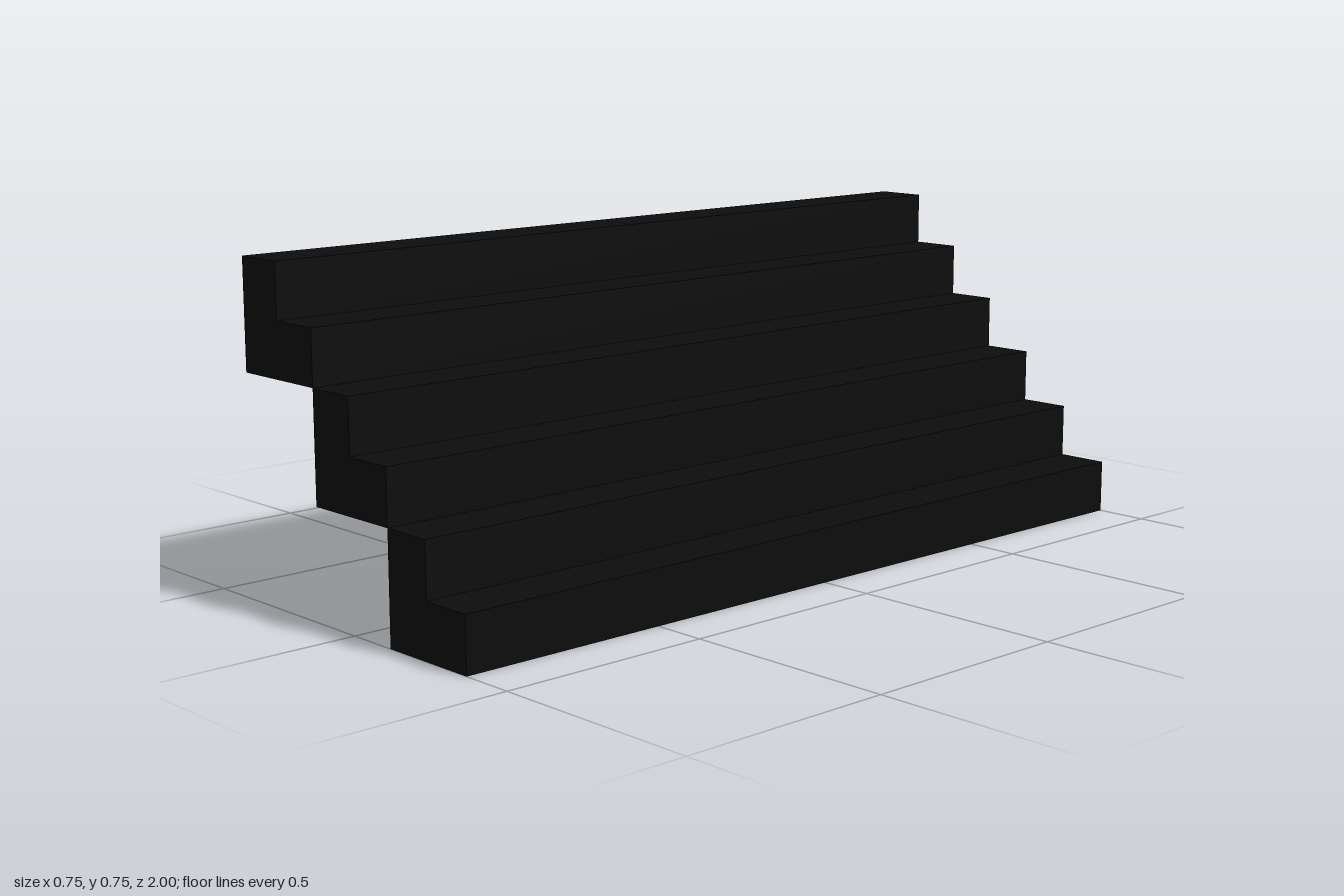
import * as THREE from 'three';

const STEP = 0.125;  // tread depth and riser height
const LENGTH = 2;    // width of the staircase along z

export function createModel() {
  const group = new THREE.Group();
  group.name = 'staircase';
  const black = new THREE.MeshStandardMaterial({ color: 0x0d0d0d });
  black.name = 'black';

  // L-shaped section holding two steps
  const section = new THREE.Shape([
    [0, 0], [2, 0], [2, 1], [1, 1], [1, 2], [0, 2],
  ].map(([x, y]) => new THREE.Vector2(x * STEP, y * STEP)));
  const geometry = new THREE.ExtrudeGeometry(section, { depth: LENGTH, bevelEnabled: false });
  geometry.translate(0, 0, -LENGTH / 2);

  // Three stair blocks climbing towards -x, touching along their edges
  ['lowerSteps', 'middleSteps', 'upperSteps'].forEach((name, i) => {
    const block = new THREE.Mesh(geometry, black);
    block.name = name;
    block.position.set(STEP * (1 - 2 * i), STEP * 2 * i, 0);
    group.add(block);
  });

  return group;
}
